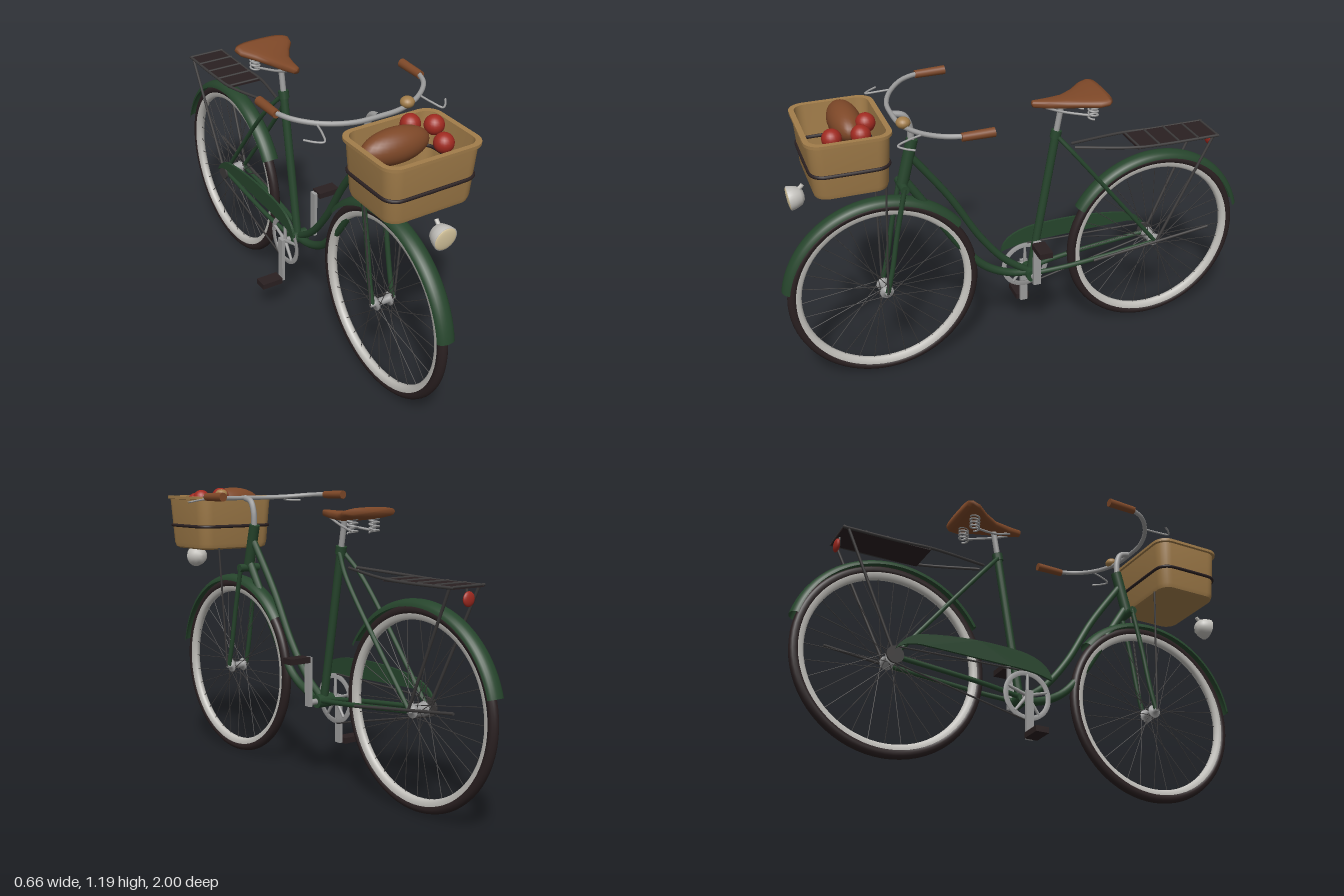
import * as THREE from 'three';
import { mergeGeometries, toCreasedNormals } from 'three/addons/utils/BufferGeometryUtils.js';

const mat = (name, color, side = THREE.FrontSide) => {
  const m = new THREE.MeshStandardMaterial({ color, side });
  m.name = name;
  return m;
};
const V = (x, y, z) => new THREE.Vector3(x, y, z);
const SIDES = [-1, 1];

// straight round bar between two points
function rod(a, b, r, r2 = r, seg = 10) {
  const d = b.clone().sub(a);
  const g = new THREE.CylinderGeometry(r2, r, d.length(), seg);
  g.applyQuaternion(new THREE.Quaternion().setFromUnitVectors(V(0, 1, 0), d.normalize()));
  const c = a.clone().add(b).multiplyScalar(0.5);
  return g.translate(c.x, c.y, c.z);
}
// smooth bent tube through points
const bend = (pts, r, n = 32, closed = false) =>
  new THREE.TubeGeometry(new THREE.CatmullRomCurve3(pts, closed), n, r, 10, closed);
// lathe turned around the x axis; angle runs from +z towards +y
const spin = (pts, seg = 64, start = 0, len = Math.PI * 2) =>
  new THREE.LatheGeometry(pts.map(p => new THREE.Vector2(p[0], p[1])), seg, start, len).rotateZ(Math.PI / 2);
// skin over rings of equal point count
function loft(rings) {
  const n = rings[0].length, idx = [];
  for (let i = 0; i < rings.length - 1; i++) for (let j = 0; j < n; j++) {
    const k = (j + 1) % n, a = i * n + j, b = i * n + k;
    idx.push(a, a + n, b, b, a + n, b + n);
  }
  const g = new THREE.BufferGeometry().setFromPoints(rings.flat());
  g.setIndex(idx);
  g.computeVertexNormals();
  return g;
}
// rounded rectangle ring lying flat
function roundRing(hx, hz, r, y, cz) {
  const out = [];
  for (let c = 0; c < 4; c++) for (let i = 0; i <= 6; i++) {
    const a = (c + i / 6) * Math.PI / 2;
    const sx = c === 0 || c === 3 ? 1 : -1, sz = c < 2 ? 1 : -1;
    out.push(V(sx * (hx - r) + r * Math.cos(a), y, cz + sz * (hz - r) + r * Math.sin(a)));
  }
  return out;
}

export function createModel() {
  const model = new THREE.Group();
  const green = mat('green paint', 0x26452c, THREE.DoubleSide);
  const rubber = mat('black rubber', 0x2a2021);
  const chrome = mat('chrome', 0x9c9c9c);
  const silver = mat('pale alloy', 0xc2c0bb);
  const steel = mat('dark steel', 0x3c3a3a);
  const wicker = mat('wicker', 0xa27d4a);
  const leather = mat('brown leather', 0x7e4828);
  const red = mat('red', 0xa02a20);
  const cream = mat('lens cream', 0xdccba2);
  const add = (name, geo, m, parent = model) => {
    const mesh = new THREE.Mesh(geo, m);
    mesh.name = name;
    parent.add(mesh);
    return mesh;
  };
  const AY = 0.394, FZ = 0.593, RZ = -0.593;
  const BB = V(0, 0.335, -0.033), seatTop = V(0, 0.97, -0.142);

  // wheels with tangential spokes, and fenders
  for (const [label, z, start, end, drum] of [['front', FZ, 10, 142, 0.015], ['rear', RZ, 31, 165, 0.024]]) {
    const w = new THREE.Group();
    w.name = label + 'Wheel';
    w.position.set(0, AY, z);
    model.add(w);
    add('tyre', new THREE.TorusGeometry(0.372, 0.02, 12, 72).rotateY(Math.PI / 2), rubber, w);
    add('rim', spin([[0.361, 0.018], [0.345, 0.017], [0.337, 0.008], [0.336, 0], [0.337, -0.008], [0.345, -0.017], [0.361, -0.018]], 72), silver, w);
    add('hub', spin([[0, -0.055], [0.01, -0.055], [0.01, -0.036], [0.028, -0.034], [0.028, -0.028], [drum, -0.024],
      [drum, 0.024], [0.028, 0.028], [0.028, 0.034], [0.01, 0.036], [0.01, 0.055], [0, 0.055]], 20), chrome, w);
    const spokes = [];
    for (let i = 0; i < 32; i++) {
      const a = i / 32 * Math.PI * 2, h = a + (i % 4 < 2 ? 1 : -1) * 1.1, s = i % 2 ? 1 : -1;
      spokes.push(rod(V(s * 0.03, 0.023 * Math.sin(h), 0.023 * Math.cos(h)),
        V(0, 0.34 * Math.sin(a), 0.34 * Math.cos(a)), 0.0016, 0.0016, 5));
    }
    add('spokes', mergeGeometries(spokes), steel, w);
    const arc = [];
    for (let i = 0; i <= 10; i++) {
      const a = i / 10 * Math.PI;
      arc.push([0.388 + 0.027 * Math.sin(a), -0.037 * Math.cos(a)]);
    }
    const rad = Math.PI / 180;
    add('fender', spin(arc, 48, start * rad, (end - start) * rad), green, w);
  }

  // step-through frame
  const headTop = V(0, 1.035, 0.448), headLow = V(0, 0.85, 0.496);
  add('headTube', rod(headLow, headTop, 0.023, 0.023, 18), green);
  add('upperDownTube', bend([V(0, 0.97, 0.462), V(0, 0.76, 0.31), V(0, 0.55, 0.185), V(0, 0.42, 0.08), BB], 0.015), green);
  add('lowerDownTube', bend([V(0, 0.87, 0.488), V(0, 0.70, 0.38), V(0, 0.52, 0.265), V(0, 0.405, 0.165), V(0, 0.35, 0.06), BB], 0.017), green);
  add('seatTube', rod(BB, seatTop, 0.017, 0.017, 14), green);
  add('seatClamp', rod(V(0, 0.945, -0.137), V(0, 0.975, -0.143), 0.022, 0.022, 14), green);
  add('bottomBracket', new THREE.CylinderGeometry(0.028, 0.028, 0.08, 18).rotateZ(Math.PI / 2).translate(0, BB.y, BB.z), green);
  add('forkCrown', rod(V(-0.05, 0.845, 0.498), V(0.05, 0.845, 0.498), 0.018), green);
  for (const s of SIDES) {
    add('forkBlade', bend([V(s * 0.042, 0.85, 0.497), V(s * 0.044, 0.66, 0.538), V(s * 0.046, 0.5, 0.567), V(s * 0.047, AY, FZ)], 0.01), green);
    add('seatStay', bend([V(s * 0.012, 0.95, -0.145), V(s * 0.04, 0.86, -0.22), V(s * 0.047, AY, RZ)], 0.009), green);
    add('chainStay', bend([V(s * 0.025, 0.338, -0.04), V(s * 0.044, 0.355, -0.2), V(s * 0.047, AY, RZ)], 0.01), green);
    add('basketStay', rod(V(s * 0.055, AY, FZ), V(s * 0.1, 0.93, 0.58), 0.0042), steel);
  }

  // cranks and pedals
  add('crankAxle', rod(V(-0.086, BB.y, BB.z), V(0.086, BB.y, BB.z), 0.012), chrome);
  for (const s of SIDES) {
    const y = BB.y + s * 0.182;
    add('crankArm', new THREE.BoxGeometry(0.014, 0.205, 0.032).translate(s * 0.08, BB.y + s * 0.088, BB.z), chrome);
    add('pedalAxle', rod(V(s * 0.075, y, BB.z), V(s * 0.1, y, BB.z), 0.006), chrome);
    add('pedal', new THREE.BoxGeometry(0.095, 0.024, 0.056).translate(s * 0.14, y, BB.z), rubber);
  }
  // chainring, chain, sprocket and guard on the right side
  const ring = new THREE.Group();
  ring.name = 'chainring';
  ring.position.set(-0.062, BB.y, BB.z);
  model.add(ring);
  add('ringRim', spin([[0.085, -0.003], [0.105, -0.003], [0.105, 0.003], [0.085, 0.003], [0.085, -0.003]], 40), chrome, ring);
  for (let i = 0; i < 5; i++) {
    const a = i / 5 * Math.PI * 2 + 0.3;
    add('ringArm', rod(V(0, 0, 0), V(0, 0.09 * Math.sin(a), 0.09 * Math.cos(a)), 0.008, 0.006), chrome, ring);
  }
  add('sprocket', new THREE.CylinderGeometry(0.035, 0.035, 0.008, 20).rotateZ(Math.PI / 2).translate(-0.06, AY, RZ), steel);
  for (const s of SIDES)
    add('chain', rod(V(-0.062, BB.y + s * 0.104, BB.z - 0.01), V(-0.062, AY + s * 0.034, RZ), 0.004, 0.004, 6), steel);
  const guard = new THREE.Shape();
  guard.moveTo(0.07, 0.41);
  guard.quadraticCurveTo(0.06, 0.49, -0.07, 0.51);
  guard.quadraticCurveTo(-0.3, 0.53, -0.5, 0.49);
  guard.quadraticCurveTo(-0.57, 0.47, -0.6, 0.41);
  guard.quadraticCurveTo(-0.56, 0.45, -0.48, 0.447);
  guard.lineTo(-0.1, 0.437);
  guard.quadraticCurveTo(0, 0.435, 0.07, 0.41);
  add('chainGuard', new THREE.ExtrudeGeometry(guard, { depth: 0.01, bevelEnabled: false, curveSegments: 12 })
    .rotateY(-Math.PI / 2).translate(-0.074, 0, 0), green);
  add('kickstand', rod(V(0.06, 0.365, -0.3), V(0.064, 0.43, -0.835), 0.006), steel);

  // saddle with post, rails and springs
  add('seatPost', rod(seatTop, V(0, 1.092, -0.164), 0.012), chrome);
  const stations = [[-0.036, 0, 1.104, 1.103], [-0.04, 0.014, 1.117, 1.09], [-0.1, 0.028, 1.115, 1.08], [-0.17, 0.046, 1.114, 1.075],
    [-0.23, 0.08, 1.119, 1.079], [-0.28, 0.119, 1.128, 1.085], [-0.315, 0.126, 1.134, 1.092], [-0.331, 0.112, 1.134, 1.098], [-0.334, 0, 1.116, 1.115]];
  add('saddle', loft(stations.map(([z, w, t, b]) => Array.from({ length: 20 }, (_, j) => {
    const a = j / 20 * Math.PI * 2, c = Math.cos(a), s = Math.sin(a);
    return V(w * Math.sign(c) * Math.abs(c) ** 0.8, (t + b) / 2 + (t - b) / 2 * Math.sign(s) * Math.abs(s) ** 0.7, z);
  }))), leather);
  for (const s of SIDES) {
    add('saddleRail', bend([V(s * 0.012, 1.085, -0.09), V(s * 0.02, 1.06, -0.16), V(s * 0.055, 1.04, -0.275)], 0.005), chrome);
    const coil = Array.from({ length: 41 }, (_, i) => {
      const a = i / 40 * Math.PI * 8;
      return V(s * 0.055 + 0.019 * Math.cos(a), 1.032 + 0.063 * i / 40, -0.275 + 0.019 * Math.sin(a));
    });
    add('saddleSpring', bend(coil, 0.004, 100), chrome);
  }

  // rear rack and tail light
  add('rackPlate', new THREE.BoxGeometry(0.15, 0.008, 0.365).translate(0, 0.872, -0.655), rubber);
  for (let i = 0; i < 5; i++)
    add('rackBar', rod(V(-0.08, 0.876, -0.48 - i * 0.0885), V(0.08, 0.876, -0.48 - i * 0.0885), 0.005), steel);
  for (const s of SIDES) {
    add('rackRail', bend([V(s * 0.02, 0.895, -0.215), V(s * 0.075, 0.878, -0.47), V(s * 0.077, 0.873, -0.6), V(s * 0.077, 0.873, -0.84)], 0.006), steel);
    add('rackStay', rod(V(s * 0.055, AY, RZ), V(s * 0.075, 0.87, -0.815), 0.006), steel);
  }
  add('tailLight', new THREE.SphereGeometry(0.028, 20, 12).scale(1, 1, 0.4).translate(0, 0.83, -0.836), red);
  add('tailLightBracket', rod(V(0, 0.83, -0.826), V(0, 0.872, -0.826), 0.005), steel);

  // stem and handlebar
  add('stem', bend([V(0, 1.02, 0.452), V(0, 1.09, 0.455), V(0, 1.135, 0.475), V(0, 1.15, 0.52)], 0.013), chrome);
  const half = [[0.1, 1.15, 0.515], [0.2, 1.154, 0.475], [0.28, 1.162, 0.405], [0.31, 1.165, 0.33], [0.313, 1.166, 0.25]];
  add('handlebar', bend([...half.map(p => V(-p[0], p[1], p[2])).reverse(), V(0, 1.15, 0.522), ...half.map(p => V(...p))], 0.0095, 80), chrome);
  for (const s of SIDES) {
    add('grip', rod(V(s * 0.311, 1.163, 0.345), V(s * 0.313, 1.165, 0.222), 0.016, 0.018, 14), leather);
    add('brakeLever', bend([V(s * 0.22, 1.152, 0.465), V(s * 0.232, 1.145, 0.52), V(s * 0.25, 1.137, 0.562), V(s * 0.275, 1.135, 0.545), V(s * 0.302, 1.135, 0.51)], 0.004), chrome);
  }
  add('bell', new THREE.SphereGeometry(0.027, 20, 14).scale(1, 0.8, 1).translate(0.13, 1.168, 0.51), wicker);

  // headlight
  const lamp = new THREE.Group();
  lamp.name = 'headlight';
  lamp.position.set(0, 0.868, 0.932);
  lamp.rotation.x = 0.12;
  model.add(lamp);
  add('lampShell', new THREE.LatheGeometry([[0, -0.06], [0.018, -0.058], [0.035, -0.045], [0.044, -0.022], [0.048, 0], [0.044, 0.001]]
    .map(p => new THREE.Vector2(...p)), 28).rotateX(Math.PI / 2), silver, lamp);
  add('lampLens', new THREE.SphereGeometry(0.045, 28, 12).scale(1, 1, 0.15), cream, lamp);
  add('lampMount', rod(V(0, 0.025, -0.04), V(0, 0.042, -0.062), 0.008), silver, lamp);

  // open basket with dark band
  const CZ = 0.717;
  const wall = [[0, 0, 0, 0.923], [0.16, 0.122, 0.04, 0.923], [0.173, 0.136, 0.05, 0.93], [0.178, 0.141, 0.05, 0.948], [0.193, 0.152, 0.055, 1.142], [0.203, 0.161, 0.06, 1.144],
    [0.203, 0.161, 0.06, 1.156], [0.182, 0.141, 0.045, 1.156], [0.168, 0.131, 0.045, 0.94], [0, 0, 0, 0.94]];
  add('basket', toCreasedNormals(loft(wall.map(([x, z, r, y]) => roundRing(x, z, r, y, CZ))), 0.7), wicker);
  add('basketBand', bend(roundRing(0.185, 0.146, 0.052, 1.025, CZ), 0.007, 96, true), rubber);
  add('basketInnerBand', bend(roundRing(0.173, 0.135, 0.045, 1.025, CZ), 0.007, 96, true), rubber);

  // bread and apples
  add('bread', new THREE.SphereGeometry(1, 28, 18).scale(0.138, 0.065, 0.062).translate(-0.05, 1.127, 0.69), leather);
  for (const p of [[0.055, 1.156, 0.632], [0.132, 1.147, 0.667], [0.098, 1.132, 0.767]])
    add('apple', new THREE.SphereGeometry(0.037, 20, 14).translate(...p), red);
  return model;
}
